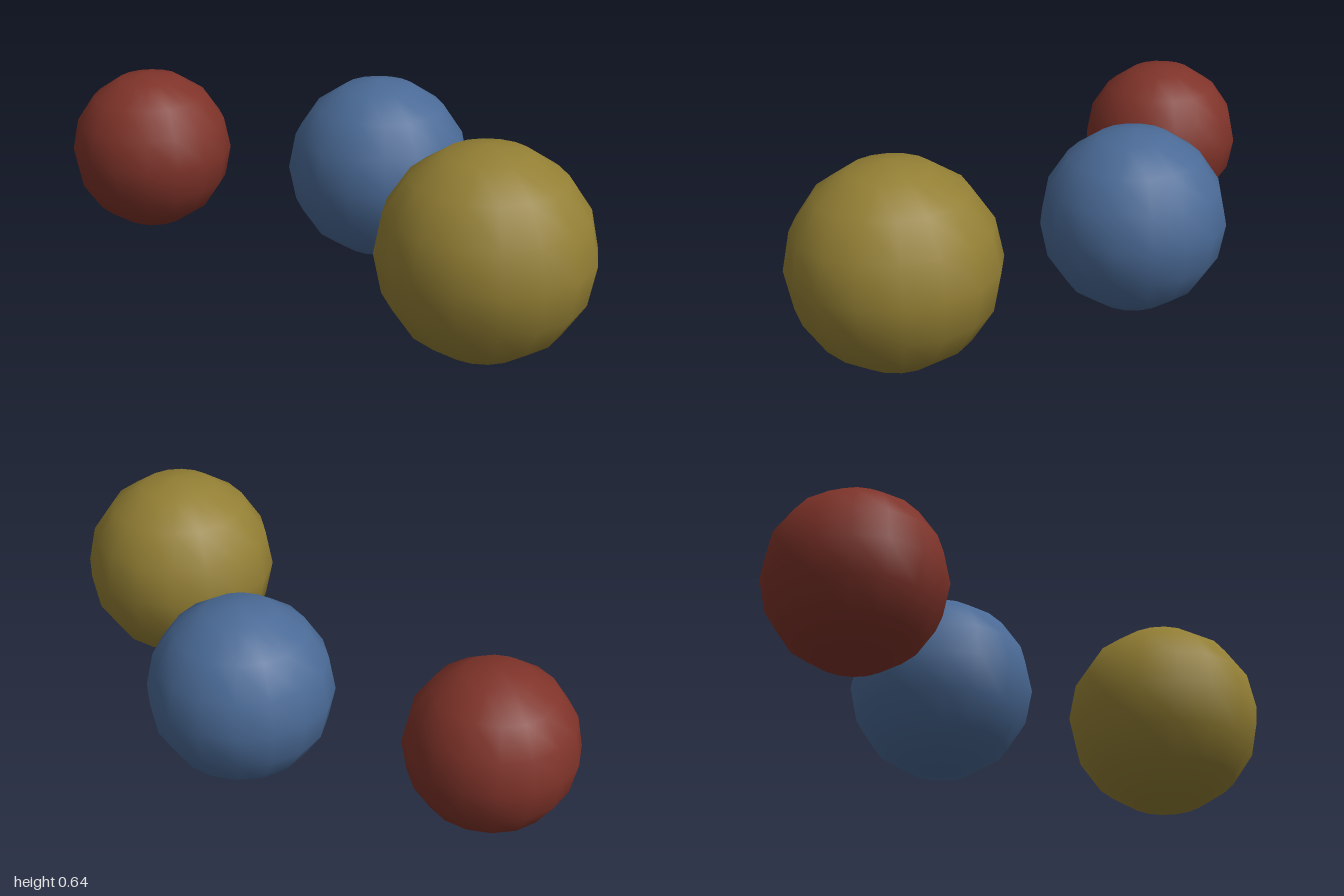
import * as THREE from 'three';

export function createModel() {
  const model = new THREE.Group();

  const material = (name, color) => {
    const m = new THREE.MeshStandardMaterial({ color });
    m.name = name;
    return m;
  };

  // Three separate balls: name, material, radius, centre
  const balls = [
    ['redBall', material('brickRed', 0x7f3329), 0.264, [-0.736, 0.288, 0.162]],
    ['blueBall', material('steelBlue', 0x4a6a96), 0.291, [-0.028, 0.303, -0.19]],
    ['yellowBall', material('ochreYellow', 0x937f34), 0.318, [0.682, 0.319, 0.164]],
  ];

  // Coarse sphere with smooth normals, shared by all balls
  const sphere = new THREE.SphereGeometry(1, 16, 8);
  for (const [name, mat, radius, centre] of balls) {
    const ball = new THREE.Mesh(sphere, mat);
    ball.name = name;
    ball.scale.setScalar(radius);
    ball.position.set(...centre);
    model.add(ball);
  }
  return model;
}
